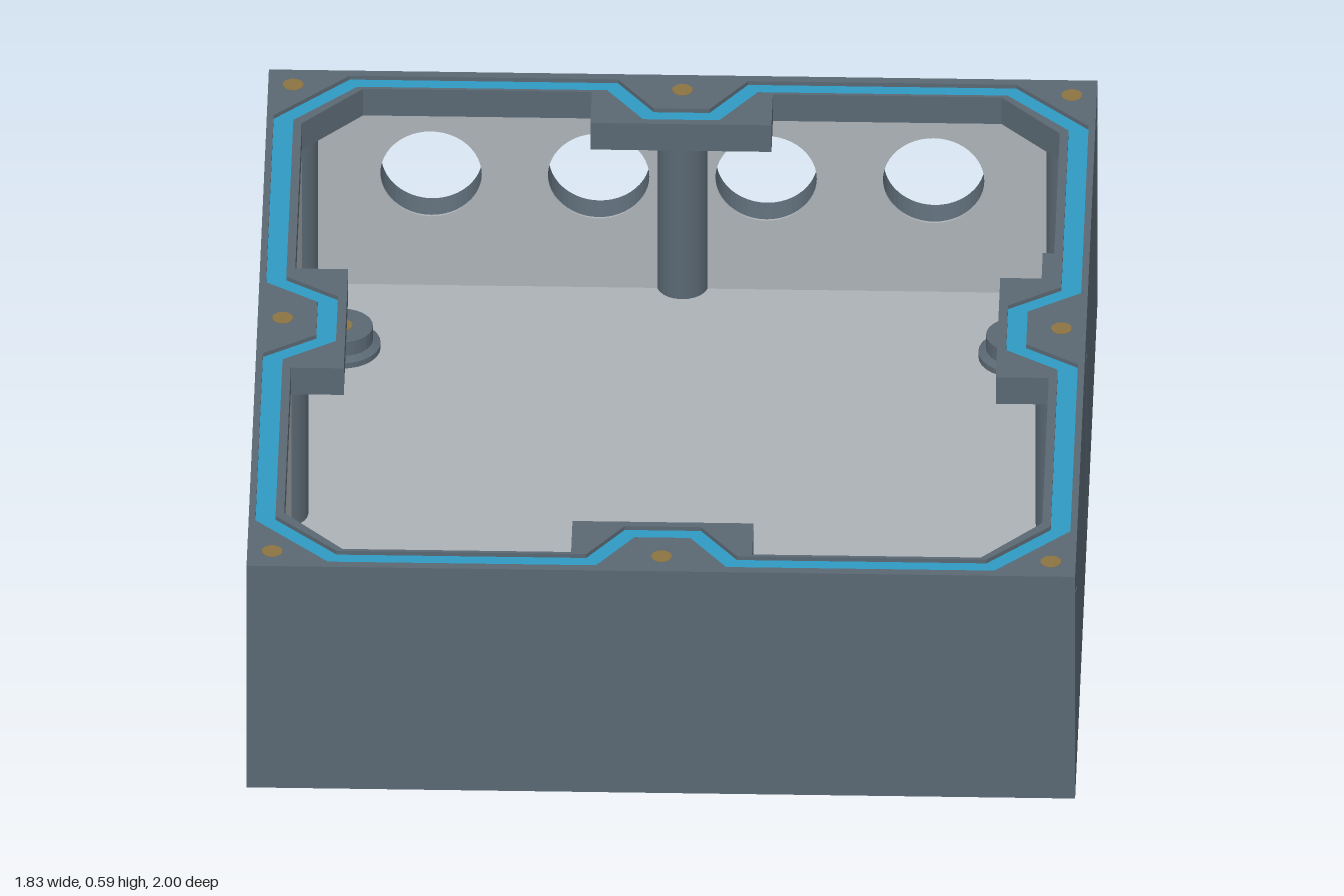
import * as THREE from 'three';

const W = 0.915, D = 1, H = 0.585;      // outer half width, half depth, height
const IX = 0.845, IZ = 0.933;           // inner wall faces
const RIM = 0.515, GROOVE = 0.565, FLOOR = 0.07;

// Mirror the points of one quadrant into a closed counter-clockwise outline
function mirrored(q) {
  const flip = (sx, sz) => q.map(([x, z]) => [x * sx, z * sz]);
  return [...q, ...flip(-1, 1).reverse(), ...flip(-1, -1), ...flip(1, -1).reverse()];
}

// Mitred offset of a closed outline, positive is outwards
function offset(pts, d) {
  const n = pts.length;
  const normal = (a, b) => {
    const l = Math.hypot(b[0] - a[0], b[1] - a[1]);
    return [(b[1] - a[1]) / l, -(b[0] - a[0]) / l];
  };
  return pts.map((p, i) => {
    const a = normal(pts[(i + n - 1) % n], p), b = normal(p, pts[(i + 1) % n]);
    const k = d / (1 + a[0] * b[0] + a[1] * b[1]);
    return [p[0] + (a[0] + b[0]) * k, p[1] + (a[1] + b[1]) * k];
  });
}

const vecs = (pts) => pts.map(([x, y]) => new THREE.Vector2(x, y));

// Horizontal slab with an opening, between two heights
function ring(outer, inner, y0, y1) {
  const s = new THREE.Shape(vecs(outer));
  s.holes.push(new THREE.Path(vecs(inner)));
  return new THREE.ExtrudeGeometry(s, { depth: y1 - y0, bevelEnabled: false })
    .rotateX(Math.PI / 2).translate(0, y1, 0);
}

// Upright panel with four round cable ports
function portPanel(halfWidth, y0, y1, z, depth) {
  const s = new THREE.Shape(vecs([[-halfWidth, y0], [halfWidth, y0], [halfWidth, y1], [-halfWidth, y1]]));
  for (let i = 0; i < 4; i++) {
    s.holes.push(new THREE.Path().absarc((i - 1.5) * 0.37, 0.363, 0.112, 0, Math.PI * 2, true));
  }
  return new THREE.ExtrudeGeometry(s, { depth, bevelEnabled: false, curveSegments: 24 }).translate(0, 0, z);
}

export function createModel() {
  const mat = (name, color) => Object.assign(new THREE.MeshStandardMaterial({ color }), { name });
  const body = mat('slate body', 0x5a6873);
  const lining = mat('light grey interior', 0xadb2b7);
  const seal = mat('blue gasket', 0x3099c2);
  const brass = mat('brass', 0x8c7342);

  const model = new THREE.Group();
  model.name = 'openEnclosure';
  const add = (name, geo, m, x = 0, y = 0, z = 0) => {
    const mesh = new THREE.Mesh(geo, m);
    mesh.name = name;
    mesh.position.set(x, y, z);
    model.add(mesh);
    return mesh;
  };
  const box = (name, m, w, h, d, x, y, z) => add(name, new THREE.BoxGeometry(w, h, d), m, x, y, z);

  // Outer shell
  const t = W - IX, wallH = RIM, skin = 0.006;
  for (const s of [-1, 1]) box('sideWall', body, t, wallH, 2 * D, s * (IX + t / 2), wallH / 2, 0);
  box('frontWall', body, 2 * IX, wallH, D - IZ, 0, wallH / 2, (D + IZ) / 2);
  add('backWall', portPanel(IX, 0, wallH, -D, D - IZ), body);
  box('base', body, 2 * IX, FLOOR - skin, 2 * IZ, 0, (FLOOR - skin) / 2, 0);

  // Light interior faces
  const lh = RIM - FLOOR, ly = (RIM + FLOOR) / 2;
  box('floorLining', lining, 2 * IX, skin, 2 * IZ, 0, FLOOR - skin / 2, 0);
  for (const s of [-1, 1]) box('sideLining', lining, skin, lh, 2 * IZ, s * (IX - skin / 2), ly, 0);
  box('frontLining', lining, 2 * IX, lh, skin, 0, ly, IZ - skin / 2);
  add('backLining', portPanel(IX, FLOOR, RIM, -IZ, skin), lining);

  // Rim with chamfered corners, four tabs and a groove
  const outline = mirrored([[W, D]]);
  const opening = mirrored([[0.72, 0.2], [0.837, 0.2], [0.837, 0.785], [0.705, 0.927], [0.2, 0.927], [0.2, 0.802]]);
  const path = mirrored([[0.762, 0.078], [0.878, 0.155], [0.878, 0.807], [0.727, 0.957], [0.155, 0.957], [0.073, 0.842]]);
  const grooveOut = offset(path, 0.022), grooveIn = offset(path, -0.022);
  add('rimBase', ring(outline, opening, RIM, GROOVE), body);
  add('rimOuter', ring(outline, grooveOut, GROOVE, H), body);
  add('rimInner', ring(grooveIn, opening, GROOVE, H), body);
  add('gasket', ring(grooveOut, grooveIn, GROOVE - 0.003, H - 0.01), seal);

  // Lid screw posts and their threaded inserts
  const post = new THREE.CylinderGeometry(0.057, 0.057, RIM - FLOOR, 24);
  const insert = new THREE.CylinderGeometry(0.023, 0.023, 0.006, 20);
  for (const x of [-0.86, 0, 0.86]) {
    for (const z of [-0.94, 0, 0.94]) {
      if (x === 0 && z === 0) continue;
      add('screwPost', post, body, x, ly, z);
      add('screwInsert', insert, brass, x, H - 0.002, z);
    }
  }

  // Board standoffs with a wider foot
  const profile = vecs([[0.085, 0], [0.085, 0.014], [0.068, 0.022], [0.068, 0.058], [0, 0.058]]);
  const standoff = new THREE.LatheGeometry(profile, 28).toNonIndexed();
  standoff.computeVertexNormals();
  for (const x of [-0.745, 0.745]) {
    for (const z of [-0.67, 0.825]) {
      add('standoff', standoff, body, x, FLOOR, z);
      add('standoffInsert', insert, brass, x, FLOOR + 0.057, z);
    }
  }

  // Earthing block on the side wall
  box('earthBlock', body, 0.045, 0.18, 0.18, 0.8225, 0.195, -0.67);
  add('earthInsert', insert, brass, 0.799, 0.195, -0.67).rotation.z = Math.PI / 2;

  return model;
}
